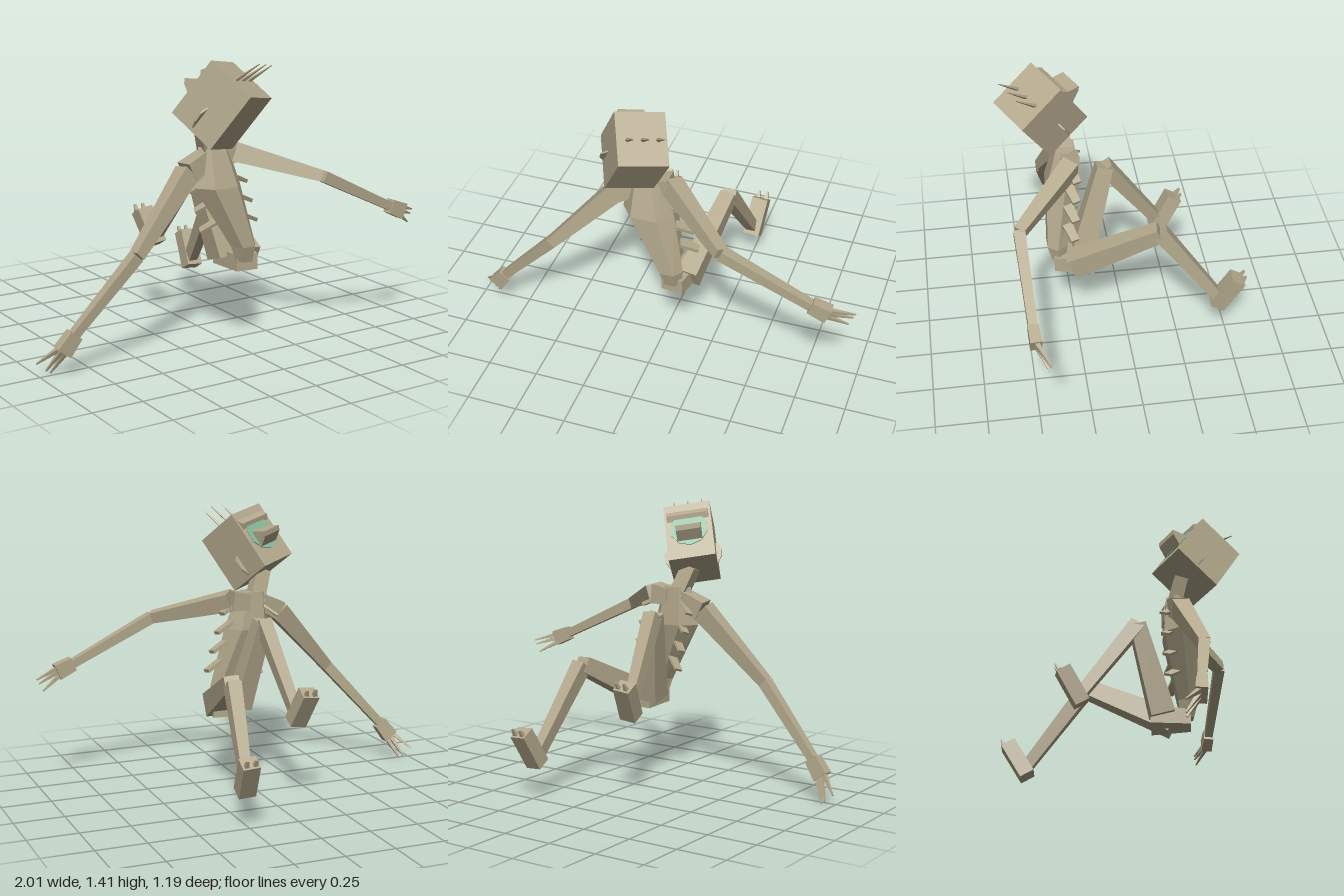
import * as THREE from 'three';

const V = (p) => new THREE.Vector3(...p);

export function createModel() {
  const skin = new THREE.MeshStandardMaterial({ color: 0xb3a88c, flatShading: true });
  skin.name = 'dusty tan';
  const green = new THREE.MeshStandardMaterial({ color: 0x86b898, flatShading: true });
  green.name = 'pale green';
  const model = new THREE.Group();
  model.name = 'lankyCreature';

  const add = (parent, name, geo, mat = skin) => {
    const m = new THREE.Mesh(geo, mat);
    m.name = name;
    parent.add(m);
    return m;
  };

  // Tapered four-sided bar from a to b; each size is [width, depth], depth follows the hint axis
  const bar = (parent, name, a, b, s0, s1, hint = [0, 0, 1]) => {
    const A = V(a), B = V(b), y = B.clone().sub(A), len = y.length();
    y.normalize();
    const z = V(hint).addScaledVector(y, -V(hint).dot(y)).normalize();
    const x = new THREE.Vector3().crossVectors(y, z);
    const geo = new THREE.BoxGeometry(1, len, 1);
    const p = geo.attributes.position;
    for (let i = 0; i < p.count; i++) {
      const s = p.getY(i) > 0 ? s1 : s0;
      p.setX(i, p.getX(i) * s[0]);
      p.setZ(i, p.getZ(i) * s[1]);
    }
    geo.applyMatrix4(new THREE.Matrix4().makeBasis(x, y, z).setPosition(A.add(B).multiplyScalar(0.5)));
    geo.computeVertexNormals();
    return add(parent, name, geo);
  };

  // Side profile given as [z, y] points, extruded along x and centred
  const wedge = (name, pts, width, parent) => {
    const shape = new THREE.Shape(pts.map(([z, y]) => new THREE.Vector2(-z, y)));
    const geo = new THREE.ExtrudeGeometry(shape, { depth: width, bevelEnabled: false });
    geo.translate(0, 0, -width / 2).rotateY(Math.PI / 2);
    return add(parent, name, geo);
  };

  // Head: local +y is the crown, local +z is the face
  const head = new THREE.Group();
  head.name = 'head';
  const up = V([0.125, 0.246, 0.136]).normalize();
  const face = V([-0.09, 0.144, -0.196]);
  face.addScaledVector(up, -face.dot(up)).normalize();
  const side = new THREE.Vector3().crossVectors(up, face);
  head.applyMatrix4(new THREE.Matrix4().makeBasis(side, up, face).setPosition(-0.0975, 1.1885, 0.371));
  model.add(head);
  add(head, 'skull', new THREE.BoxGeometry(0.234, 0.31, 0.26));
  add(head, 'facePatch', new THREE.CylinderGeometry(0.095, 0.095, 0.006, 10).rotateX(Math.PI / 2), green)
    .position.set(0, 0.01, 0.132);
  wedge('snout', [[0, 0.035], [0.074, -0.008], [0.06, -0.03], [0, -0.06]], 0.125, head).position.z = 0.13;
  wedge('brow', [[0, 0.115], [0.018, 0.085], [0, 0.06]], 0.21, head).position.z = 0.13;

  // Ears: thin leaf plates on both sides
  for (const s of [-1, 1]) {
    const leaf = new THREE.Shape([[0, -0.02], [0, -0.14], [0.025, -0.1], [0.03, -0.05]]
      .map(([x, y]) => new THREE.Vector2(x, y)));
    const ear = add(head, 'ear', new THREE.ExtrudeGeometry(leaf, { depth: 0.008, bevelEnabled: false }));
    ear.position.set(s * 0.116, 0, s > 0 ? 0 : 0.012);
    if (s < 0) ear.rotation.y = Math.PI;
  }

  // Crown spikes
  for (let i = 0; i < 3; i++) {
    const b = [-0.092 + 0.06 * i, 1.318 - 0.011 * i, 0.475 - 0.036 * i];
    bar(model, 'crownSpike', b, [b[0] + 0.067, b[1] + 0.08, b[2] + 0.094], [0.015, 0.015], [0.003, 0.003]);
  }

  // Torso: hexagonal sections, each [centre x, y, z, half width, half depth]
  const sections = [
    [0.065, 0.41, 0.325, 0.05, 0.035],
    [0.055, 0.49, 0.33, 0.068, 0.052],
    [-0.065, 0.79, 0.285, 0.128, 0.085],
    [-0.08, 0.98, 0.265, 0.08, 0.05],
  ];
  const pos = [], idx = [], n = 6;
  for (const [cx, cy, cz, w, d] of sections) {
    for (let k = 0; k < n; k++) {
      const a = (k / n) * Math.PI * 2;
      pos.push(cx + Math.cos(a) * w, cy, cz + Math.sin(a) * d * 1.1);
    }
  }
  for (let r = 0; r < sections.length - 1; r++) {
    for (let k = 0; k < n; k++) {
      const a = r * n + k, b = r * n + (k + 1) % n;
      idx.push(a, a + n, b, b, a + n, b + n);
    }
  }
  const top = (sections.length - 1) * n;
  for (let k = 1; k < n - 1; k++) idx.push(0, k, k + 1, top, top + k + 1, top + k);
  const torsoGeo = new THREE.BufferGeometry();
  torsoGeo.setAttribute('position', new THREE.Float32BufferAttribute(pos, 3));
  torsoGeo.setIndex(idx);
  torsoGeo.computeVertexNormals();
  add(model, 'torso', torsoGeo);

  bar(model, 'neck', [-0.09, 0.93, 0.25], [-0.145, 1.08, 0.29], [0.08, 0.07], [0.075, 0.065]);
  bar(model, 'pelvis', [0.07, 0.405, 0.345], [0.09, 0.405, 0.15], [0.11, 0.08], [0.17, 0.085], [0, 1, 0]);

  // Ribs: small plates down both flanks
  for (let i = 0; i < 4; i++) {
    const y = 0.9 - i * 0.098, x = -0.055 + i * 0.025, z = 0.235 + i * 0.008;
    bar(model, 'leftRib', [x + 0.07, y + 0.02, z + 0.02], [x + 0.155, y - 0.02, z - 0.01], [0.018, 0.05], [0.018, 0.04]);
    bar(model, 'rightRib', [x - 0.07, y + 0.01, z + 0.01], [x - 0.14, y - 0.045, z - 0.04], [0.012, 0.05], [0.012, 0.04]);
  }

  // Arms: shoulder, upper arm, forearm, hand and three fingers
  const arms = {
    left: {
      root: [-0.05, 0.93, 0.25], shoulder: [0.04, 0.94, 0.25], elbow: [0.37, 0.83, 0.53], wrist: [0.80, 0.625, 0.515],
      palm: [0.885, 0.59, 0.51],
      fingers: [[[0.88, 0.61, 0.51], [1, 0.572, 0.455]], [[0.875, 0.592, 0.51], [0.99, 0.55, 0.455]], [[0.865, 0.575, 0.51], [0.97, 0.51, 0.46]]],
    },
    right: {
      root: [-0.11, 0.93, 0.26], shoulder: [-0.225, 0.87, 0.275], elbow: [-0.545, 0.53, 0.35], wrist: [-0.845, 0.195, 0.3],
      palm: [-0.905, 0.115, 0.29],
      fingers: [[[-0.92, 0.13, 0.28], [-1, 0.055, 0.215]], [[-0.903, 0.118, 0.28], [-0.955, 0.015, 0.22]], [[-0.885, 0.105, 0.28], [-0.935, 0.003, 0.225]]],
    },
  };
  for (const [s, a] of Object.entries(arms)) {
    bar(model, s + 'Shoulder', a.root, a.shoulder, [0.08, 0.08], [0.1, 0.09]);
    bar(model, s + 'UpperArm', a.shoulder, a.elbow, [0.095, 0.085], [0.055, 0.055]);
    bar(model, s + 'Forearm', a.elbow, a.wrist, [0.055, 0.055], [0.042, 0.042]);
    bar(model, s + 'Hand', a.wrist, a.palm, [0.07, 0.05], [0.08, 0.055]);
    for (const [b, tip] of a.fingers) bar(model, s + 'Finger', b, tip, [0.022, 0.022], [0.006, 0.006]);
  }

  // Legs: thigh, shin, upturned foot and two toes
  const legs = {
    left: {
      hip: [0.13, 0.405, 0.265], knee: [0.2, 0.615, -0.165], ankle: [0.25, 0.215, -0.455],
      heel: [0.255, 0.165, -0.452], toe: [0.272, 0.335, -0.552],
    },
    right: {
      hip: [0.02, 0.41, 0.2], knee: [-0.06, 0.855, 0.075], ankle: [-0.115, 0.455, -0.2],
      heel: [-0.12, 0.4, -0.195], toe: [-0.147, 0.565, -0.29],
    },
  };
  const X = [1, 0, 0];
  for (const [s, l] of Object.entries(legs)) {
    bar(model, s + 'Thigh', l.hip, l.knee, [0.12, 0.1], [0.08, 0.075], X);
    bar(model, s + 'Shin', l.knee, l.ankle, [0.075, 0.07], [0.055, 0.05], X);
    bar(model, s + 'Foot', l.heel, l.toe, [0.075, 0.085], [0.075, 0.085], X);
    for (const dx of [-0.022, 0.022]) {
      const t = l.toe;
      bar(model, s + 'Toe', [t[0] + dx, t[1] - 0.01, t[2] - 0.015], [t[0] + dx + 0.002, t[1] + 0.022, t[2] - 0.035],
        [0.02, 0.022], [0.008, 0.012], X);
    }
  }
  return model;
}
